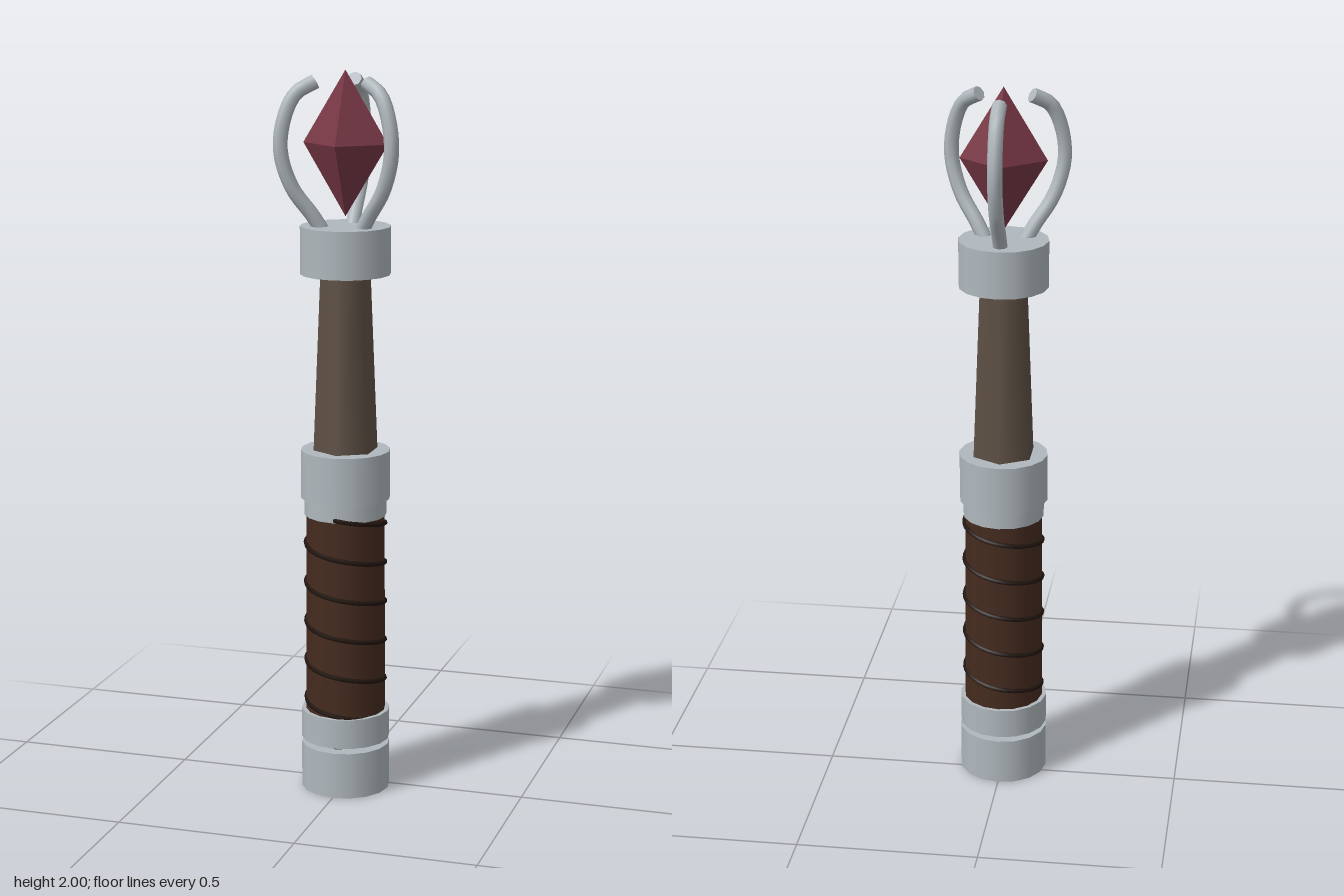
import * as THREE from 'three';

const AXIS_Z = 0.037;

function material(name, color) {
  const m = new THREE.MeshStandardMaterial({ color });
  m.name = name;
  return m;
}

// Helix around the handle, sinking as it turns from the front towards +x
class Helix extends THREE.Curve {
  constructor(radius, top, bottom, pitch, phaseY) {
    super();
    Object.assign(this, { radius, top, bottom, pitch, phaseY });
  }
  getPoint(t, target = new THREE.Vector3()) {
    const y = THREE.MathUtils.lerp(this.top, this.bottom, t);
    const a = ((this.phaseY - y) / this.pitch) * Math.PI * 2;
    return target.set(Math.sin(a) * this.radius, y, Math.cos(a) * this.radius);
  }
}

export function createModel() {
  const metal = material('silver metal', 0xb0b8bd);
  const wood = material('grey brown wood', 0x5f5145);
  const leather = material('dark brown leather', 0x452b1f);
  const cord = material('blackish cord', 0x21150f);
  const ruby = material('dark red crystal', 0x783845);

  const model = new THREE.Group();
  model.name = 'sceptre';
  const body = new THREE.Group();
  body.name = 'sceptreBody';
  body.position.z = AXIS_Z;
  model.add(body);

  const add = (name, geometry, mat, parent = body) => {
    const mesh = new THREE.Mesh(geometry, mat);
    mesh.name = name;
    parent.add(mesh);
    return mesh;
  };
  const drum = (name, r0, r1, y0, y1, sides, mat) => {
    const mesh = add(name, new THREE.CylinderGeometry(r1, r0, y1 - y0, sides), mat);
    mesh.position.y = (y0 + y1) / 2;
    return mesh;
  };

  // Hexagonal shaft: straight core inside the grip, tapered above
  drum('shaftCore', 0.09, 0.09, 0.1, 0.96, 6, wood);
  drum('shaft', 0.09, 0.069, 0.96, 1.47, 6, wood);

  // Metal collars
  [
    ['pommel', 0.123, 0, 0.13],
    ['lowerCollar', 0.123, 0.145, 0.228],
    ['gripRim', 0.113, 0.787, 0.84],
    ['middleCollar', 0.123, 0.835, 0.97],
    ['topCollar', 0.123, 1.455, 1.585],
  ].forEach(([name, r, y0, y1]) => drum(name, r, r, y0, y1, 16, metal));

  // Leather grip with spiral cord
  drum('grip', 0.111, 0.108, 0.22, 0.79, 16, leather);
  add('gripCord', new THREE.TubeGeometry(
    new Helix(0.109, 0.795, 0.222, 0.112, 0.683), 160, 0.007, 6), cord);

  // Crystal
  const crystal = add('crystal', new THREE.OctahedronGeometry(1), ruby);
  crystal.scale.set(0.118, 0.195, 0.095);
  crystal.position.y = 1.805;

  // Three curved prongs, each drawn in a radial plane and turned about the axis
  const curve = new THREE.CatmullRomCurve3([
    [0.055, 1.56], [0.09, 1.615], [0.145, 1.69], [0.176, 1.785],
    [0.168, 1.87], [0.135, 1.94], [0.082, 1.97],
  ].map(([r, y]) => new THREE.Vector3(0, y, r)));
  const tube = new THREE.TubeGeometry(curve, 20, 0.02, 8);
  const cap = new THREE.CircleGeometry(0.02, 8);
  for (let i = 0; i < 3; i++) {
    const prong = new THREE.Group();
    prong.name = 'prong' + (i + 1);
    prong.rotation.y = Math.PI + (i * Math.PI * 2) / 3;
    add('prongBar', tube, metal, prong);
    const tip = add('prongTip', cap, metal, prong);
    tip.position.copy(curve.getPoint(1));
    tip.quaternion.setFromUnitVectors(new THREE.Vector3(0, 0, 1), curve.getTangent(1));
    body.add(prong);
  }
  return model;
}
